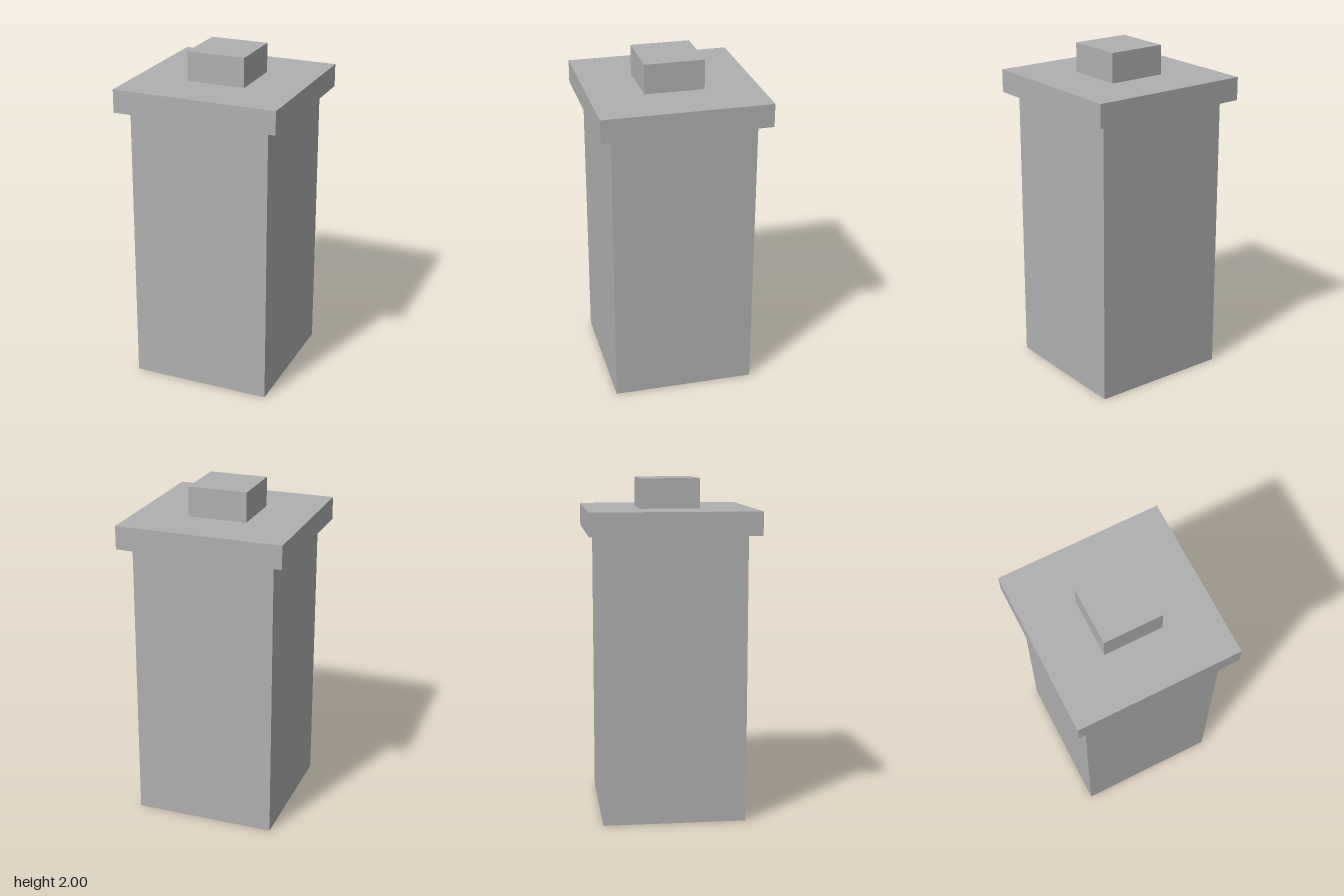
import * as THREE from 'three';

export function createModel() {
  const group = new THREE.Group();
  const grey = new THREE.MeshStandardMaterial({ color: 0xb0b0b0 });
  grey.name = 'grey';

  // Square block spanning bottom to top, centred on the vertical axis
  const addBlock = (name, width, bottom, top) => {
    const mesh = new THREE.Mesh(new THREE.BoxGeometry(width, top - bottom, width), grey);
    mesh.position.y = (bottom + top) / 2;
    mesh.name = name;
    group.add(mesh);
  };

  addBlock('pillarShaft', 0.842, 0, 1.688);
  addBlock('capSlab', 0.982, 1.688, 1.825);
  addBlock('topBlock', 0.351, 1.825, 2);

  return group;
}
